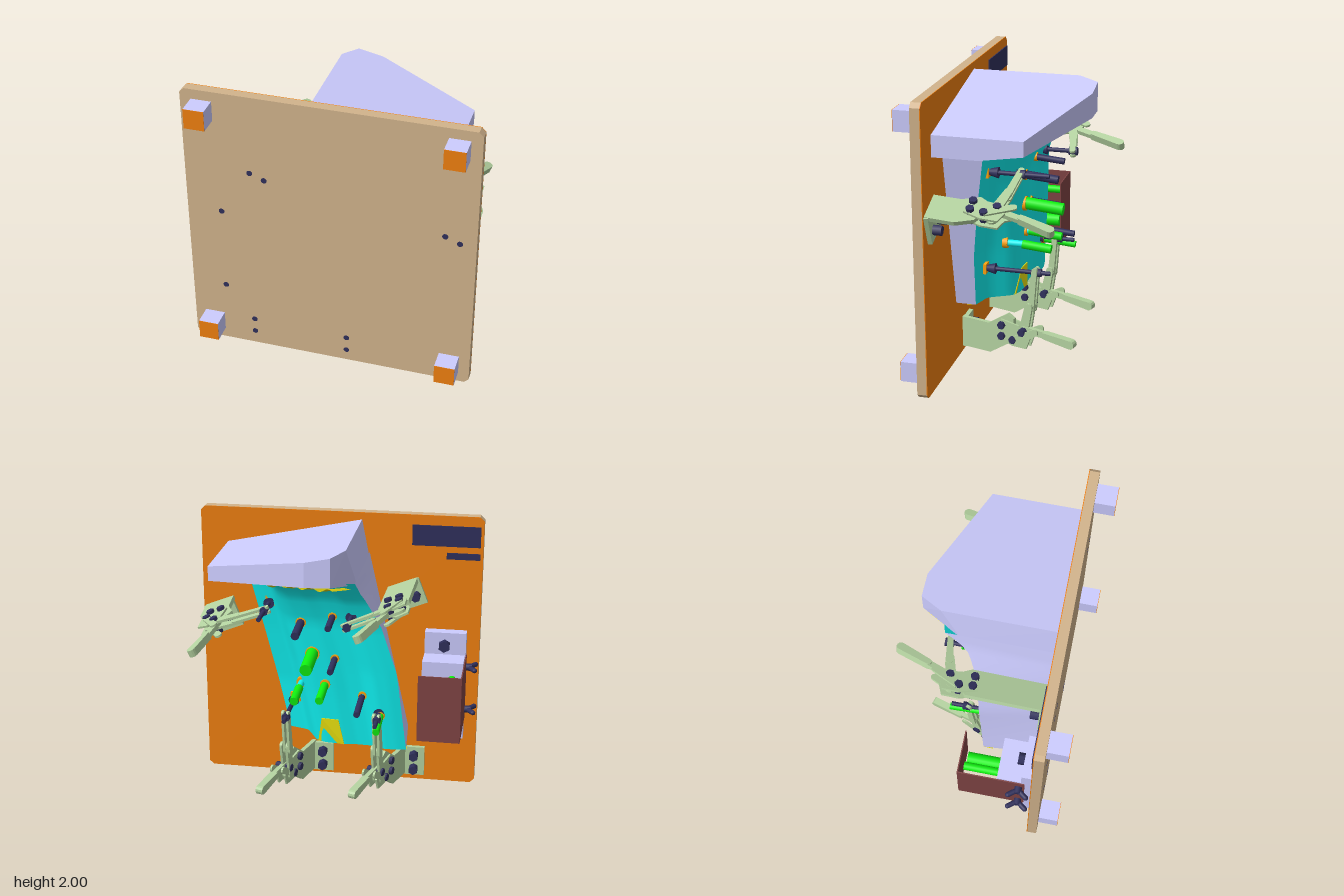
import * as THREE from 'three';
import { ConvexGeometry } from 'three/addons/geometries/ConvexGeometry.js';
import { toCreasedNormals } from 'three/addons/utils/BufferGeometryUtils.js';

const mat = (color, side = THREE.FrontSide) => new THREE.MeshStandardMaterial({ color, side });
const M = {
  tan: mat(0xd2b48c), orange: mat(0xf08010), lilac: mat(0xccccff), sage: mat(0xb4d2a0),
  navy: mat(0x30305c), green: mat(0x10f010), brown: mat(0x804444), yellow: mat(0xf0e810),
  pad: mat(0xffa510), magenta: mat(0xff10e8),
  cyan: mat(0x10f4f4, THREE.DoubleSide), wall: mat(0xccccff, THREE.DoubleSide),
  trim: mat(0xe0d410, THREE.DoubleSide),
};
const V = (x, y, z) => new THREE.Vector3(x, y, z);

function add(parent, name, geo, material, x = 0, y = 0, z = 0) {
  const m = new THREE.Mesh(geo, material);
  m.name = name;
  m.position.set(x, y, z);
  parent.add(m);
  return m;
}
// box given by its limits
function block(parent, name, material, x0, x1, y0, y1, z0, z1) {
  return add(parent, name, new THREE.BoxGeometry(x1 - x0, y1 - y0, z1 - z0), material,
    (x0 + x1) / 2, (y0 + y1) / 2, (z0 + z1) / 2);
}
// rod along z
function rod(parent, name, material, x, y, z0, z1, r, sides = 20) {
  const g = new THREE.CylinderGeometry(r, r, Math.abs(z1 - z0), sides).rotateX(Math.PI / 2);
  return add(parent, name, g, material, x, y, (z0 + z1) / 2);
}
// plate with a profile in (depth, height), depth running towards -z
function plate(parent, name, material, pts, t, x = 0) {
  const s = new THREE.Shape(pts.map(p => new THREE.Vector2(p[0], p[1])));
  const g = new THREE.ExtrudeGeometry(s, { depth: t, bevelEnabled: false });
  g.translate(0, 0, -t / 2).rotateY(Math.PI / 2);
  return add(parent, name, g, material, x);
}
// flat bar with rounded ends between two profile points
function bar(parent, name, material, a, b, w, t, x = 0, w2 = w) {
  const ang = Math.atan2(b[1] - a[1], b[0] - a[0]), pts = [];
  for (const [p, r, start] of [[a, w / 2, Math.PI / 2], [b, w2 / 2, -Math.PI / 2]]) {
    for (let i = 0; i <= 6; i++) {
      const k = ang + start + i * Math.PI / 6;
      pts.push([p[0] + Math.cos(k) * r, p[1] + Math.sin(k) * r]);
    }
  }
  return plate(parent, name, material, pts, t, x);
}
// surface through rows of points
function sheet(rows) {
  const n = rows[0].length, idx = [];
  for (let i = 0; i < rows.length - 1; i++) for (let j = 0; j < n - 1; j++) {
    const a = i * n + j, b = a + 1, c = a + n, d = c + 1;
    idx.push(a, b, c, b, d, c);
  }
  const g = new THREE.BufferGeometry().setFromPoints(rows.flat());
  g.setIndex(idx);
  return toCreasedNormals(g, 0.6);
}
// linear interpolation in a list of [position, value]
function lerp(list, t) {
  for (let i = 1; i < list.length; i++) {
    const [a, va] = list[i - 1], [b, vb] = list[i];
    if (t <= b || i === list.length - 1) return va + (vb - va) * (t - a) / (b - a);
  }
}

// toggle clamp: s = web side, off = web offset, reach = extra depth, drop = set-back of the linkage,
// arm/side = spindle place, tip/end = spindle z
function clamp(o) {
  const g = new THREE.Group(), { s, reach: e, drop: h } = o;
  g.name = 'toggleClamp';
  g.position.set(o.x, o.y, 0);
  g.rotation.z = o.turn;
  const inner = -0.075 * s, outer = (o.off + 0.01) * s;
  block(g, 'clampFoot', M.sage, Math.min(inner, outer), Math.max(inner, outer), -0.11, 0.11, 0.38, 0.41);
  for (const y of [-0.053, 0.053]) {
    rod(g, 'footBolt', M.navy, 0, y, 0.32, 0.38, 0.034, 6);
    rod(g, 'boltEnd', M.navy, 0, y, 0.47, 0.482, 0.02);
  }
  const u = new THREE.Group();
  u.name = 'clampLinkage';
  u.position.set(s * o.off, 0, 0.41);
  u.rotation.y = -s * o.yaw;
  g.add(u);
  plate(u, 'clampBracket', M.sage, [[0, -0.1], [0.23 + e / 2, -0.1], [0.38 + e, -h], [0.42 + e, 0.08 - h],
    [0.42 + e, 0.19 - h], [0.37 + e, 0.22 - h], [0.22 + e / 2, 0.12], [0, 0.12]], 0.03);
  for (const x of [-0.03, 0.03]) {
    plate(u, 'clampCheek', M.sage, [[0.3 + e, 0.04 - h], [0.42 + e, -h], [0.53 + e, -h], [0.56 + e, 0.08 - h],
      [0.47 + e, 0.16 - h], [0.33 + e, 0.18 - h]], 0.014, x);
    bar(u, 'clampLink', M.sage, [0.44 + e, 0.05 - h], [0.6 + e, 0.14 - h], 0.05, 0.014, x * 1.4);
  }
  for (const [d, y] of [[0.34, 0.14], [0.34, 0.06], [0.43, 0.05], [0.5, 0.12]]) {
    const p = add(u, 'pivotBolt', new THREE.CylinderGeometry(0.028, 0.028, 0.12, 6), M.navy, 0, y - h, -d - e);
    p.rotation.z = Math.PI / 2;
  }
  const tip = 0.89 + e, grip = [0.66 + e, 0.13 - h + (o.lean + h) * 0.45];
  bar(u, 'handleNeck', M.sage, [0.48 + e, 0.13 - h], grip, 0.045, 0.03);
  bar(u, 'handleGrip', M.sage, grip, [tip - 0.03, 0.12 + o.lean], 0.045, 0.05, 0, 0.06);
  // cranked holding arm and its spindle
  const sx = s * o.side, shift = sx - s * (o.off + (0.55 + e) * Math.sin(o.yaw)), knee = o.arm * 0.55;
  for (const x of [-0.022, 0.022]) {
    bar(u, 'armRoot', M.sage, [0.48 + e, 0.06 - h], [0.53 + e, knee], 0.075, 0.018, x + shift / 2, 0.055);
    bar(u, 'holdingArm', M.sage, [0.53 + e, knee - 0.03], [0.56 + e, o.arm + 0.02], 0.05, 0.018, x * 0.8 + shift, 0.04);
  }
  rod(g, 'spindle', M.navy, sx, o.arm, o.tip, o.end, 0.015);
  rod(g, 'spindleNut', M.navy, sx, o.arm, -0.12 - e, -0.18 - e, 0.03, 6);
  const head = add(g, 'spindleHead', new THREE.CylinderGeometry(0.022, 0.038, 0.06, 20), M.navy, sx, o.arm, o.tip - 0.03);
  head.rotation.x = Math.PI / 2;
  const pad = block(g, 'restPad', M.pad, sx - 0.035, sx + 0.035, o.arm - 0.035, o.arm + 0.035, o.tip, o.tip + 0.02);
  pad.rotation.z = -o.turn;
  return g;
}

export function createModel() {
  const model = new THREE.Group();
  model.name = 'checkingFixture';

  // base board with clipped corners, and a coloured rear face
  const c = 0.03, w = 0.99;
  const outline = new THREE.Shape([[-w + c, 0], [w - c, 0], [w, c], [w, 2 - c], [w - c, 2], [-w + c, 2], [-w, 2 - c], [-w, c]]
    .map(p => new THREE.Vector2(p[0], p[1])));
  const slab = d => new THREE.ExtrudeGeometry(outline, { depth: d, bevelEnabled: false });
  add(model, 'baseBoard', slab(0.065), M.tan, 0, 0, 0.415);
  add(model, 'boardRearFace', slab(0.005), M.orange, 0, 0, 0.41);
  for (const x of [-0.845, 0.845]) for (const y of [0.145, 1.86]) {
    block(model, 'foot', M.lilac, x - 0.07, x + 0.07, y - 0.07, y + 0.07, 0.48, 0.617);
    block(model, 'footPad', M.orange, x - 0.07, x + 0.07, y - 0.07, y + 0.07, 0.617, 0.62);
  }
  block(model, 'largePlate', M.navy, -0.97, -0.5, 1.785, 1.93, 0.402, 0.41);
  block(model, 'smallPlate', M.navy, -0.97, -0.74, 1.695, 1.74, 0.402, 0.41);

  // curved panel, its edges and ridge varying with height
  const xL = [[0.42, -0.53], [1.0, -0.46], [1.35, -0.35], [1.6, -0.23], [1.74, -0.2]];
  const xB = [[0.42, -0.5], [1.74, -0.2]], xR = [[0.42, 0.34], [1.74, 0.62]];
  const zR = [[0.42, 0.27], [0.8, 0.255], [1.2, 0.2], [1.6, 0.13], [1.74, 0.08]];
  const zL = [[0.42, -0.01], [1.0, -0.05], [1.35, -0.08], [1.55, -0.15], [1.65, -0.24], [1.74, -0.34]];
  const hat = [[0, 0], [0.16, 0.15], [0.26, 0.72], [0.34, 0.84], [0.5, 0.88], [0.6, 0.84], [0.72, 0.86], [0.82, 1], [0.92, 1], [1, 0.96]];
  const panelZ = (u, y) => lerp(zR, y) + (lerp(zL, y) - lerp(zR, y)) * lerp(hat, u);
  const zAt = (x, y) => panelZ((lerp(xR, y) - x) / (lerp(xR, y) - lerp(xL, y)), y);
  const rows = [];
  for (let i = 0; i <= 24; i++) {
    const y = 0.42 + 1.3 * i / 24, a = lerp(xR, y), b = lerp(xL, y);
    rows.push(Array.from({ length: 41 }, (_, j) => V(a + (b - a) * j / 40, y, panelZ(j / 40, y))));
  }
  add(model, 'panel', sheet(rows), M.cyan);
  add(model, 'supportWallRight', sheet(rows.map(r => [r[40], V(lerp(xB, r[40].y), r[40].y, 0.41)])), M.wall);
  add(model, 'supportWallLeft', sheet(rows.map(r => [r[0], V(r[0].x, r[0].y, 0.41)])), M.wall);
  add(model, 'supportBottom', sheet([rows[0], rows[0].map(p => V(Math.max(p.x, -0.5), p.y, 0.41))]), M.wall);
  add(model, 'bottomTrim', sheet([rows[0], rows[0].map(p => V(p.x, 0.412, p.z + 0.07))]), M.trim);
  add(model, 'bottomInsert', new ConvexGeometry([[-0.09, 0.42], [0.1, 0.42], [-0.05, 0.61], [0.07, 0.61]]
    .flatMap(([x, y]) => [V(x, y, zAt(x, y) - 0.006), V(x, y, 0.08)])), M.yellow);

  // hood over the upper end of the panel: x, z, lower y, lower x and z shift
  const hood = [[-0.15, 0.41, 1.6, -0.07, 0], [-0.15, -0.33, 1.68, -0.055, 0.13], [-0.07, -0.47, 1.735, 0, 0],
    [0.1, -0.47, 1.73, 0, 0], [0.8, -0.19, 1.65, 0, 0], [0.8, 0.1, 1.605, 0, 0], [0.8, 0.41, 1.605, 0, 0]];
  add(model, 'hood', new ConvexGeometry(hood.flatMap(([x, z, y, dx, dz]) =>
    [V(x, 1.95 - 0.21 * (x + 0.15), z), V(x + dx, y, z + dz)])), M.lilac);
  const wave = [0, 1].map(k => Array.from({ length: 33 }, (_, j) =>
    V(-0.17 + 0.09 * k + (0.57 - 0.09 * k) * j / 32, 1.66 + 0.045 * k + 0.012 * Math.sin(j * 0.8),
      -0.25 - 0.19 * k * (1 - 0.5 * j / 32))));
  add(model, 'wavyTrim', sheet(wave), M.trim);

  // gauge pins standing on the panel, tilted slightly down
  for (const [x, y, r, end, m, shank] of [[0.125, 1.11, 0.042, -0.29, M.green, M.cyan],
    [0.22, 0.85, 0.03, -0.23, M.green, M.cyan], [0.04, 0.88, 0.028, -0.26, M.green, M.cyan],
    [-0.35, 0.68, 0.024, -0.27, M.green, M.cyan], [-0.03, 1.08, 0.022, -0.23, M.navy, M.cyan],
    [0.2, 1.34, 0.028, -0.27, M.navy, M.magenta], [-0.22, 0.81, 0.022, -0.29, M.navy, M.cyan],
    [-0.02, 1.4, 0.022, -0.26, M.navy, M.cyan]]) {
    const z = zAt(x, y), start = Math.min(z, -0.03);
    rod(model, 'pinBushing', M.pad, x, y, z + 0.02, z - 0.015, r + 0.008);
    rod(model, 'pinShank', shank, x, y, z, start - 0.02, r * 0.75);
    rod(model, 'gaugePin', m, x, y - 0.01, start, end, r).rotation.x = -0.09;
  }

  // side storage block with pins, wing screws and guard
  const box = new THREE.Group();
  box.name = 'pinStorage';
  model.add(box);
  block(box, 'storageBase', M.lilac, -0.9, -0.61, 0.38, 1.18, 0.335, 0.41);
  block(box, 'storageBlock', M.lilac, -0.895, -0.61, 0.55, 1.02, 0.17, 0.335);
  for (const y of [0.47, 1.09]) {
    rod(box, 'storageBolt', M.navy, -0.75, y, 0.29, 0.335, 0.042, 6);
    rod(box, 'boltEnd', M.navy, -0.75, y, 0.47, 0.482, 0.02);
  }
  rod(box, 'smallStoredPin', M.green, -0.82, 0.9, 0.17, -0.07, 0.028);
  rod(box, 'largeStoredPin', M.green, -0.71, 0.7, 0.17, -0.07, 0.045);
  block(box, 'guardFront', M.brown, -0.905, -0.61, 0.54, 1.02, -0.1, -0.092);
  block(box, 'guardSide', M.brown, -0.907, -0.899, 0.54, 1.02, -0.1, 0.36);
  for (const y of [0.62, 0.94]) {
    const hub = add(box, 'wingScrew', new THREE.CylinderGeometry(0.025, 0.025, 0.05, 16), M.navy, -0.925, y, 0.32);
    hub.rotation.z = Math.PI / 2;
    for (const k of [-1, 1]) {
      const wing = add(box, 'wing', new THREE.CapsuleGeometry(0.018, 0.05, 4, 10), M.navy, -0.955, y, 0.32 + k * 0.04);
      wing.quaternion.setFromUnitVectors(V(0, 1, 0), V(-0.6, 0, k * 0.8));
    }
  }

  // four toggle clamps
  for (const o of [
    { x: 0.12, y: 0.14, turn: 0, s: 1, off: 0.07, reach: 0, drop: 0, yaw: 0.27, arm: 0.54, side: 0.17, tip: 0.2, end: -0.24, lean: -0.02 },
    { x: -0.55, y: 0.155, turn: 0, s: 1, off: 0.07, reach: 0, drop: 0, yaw: 0.31, arm: 0.54, side: 0.21, tip: 0.02, end: -0.26, lean: -0.02 },
    { x: 0.83, y: 1.17, turn: 1.19, s: 1, off: 0.13, reach: -0.07, drop: 0.05, yaw: -0.1, arm: 0.45, side: 0.09, tip: 0.13, end: -0.27, lean: -0.15 },
    { x: -0.49, y: 1.41, turn: -1.95, s: -1, off: 0.1, reach: 0.14, drop: 0.1, yaw: 0.02, arm: 0.31, side: 0.13, tip: -0.05, end: -0.28, lean: 0.07 },
  ]) model.add(clamp(o));
  return model;
}
